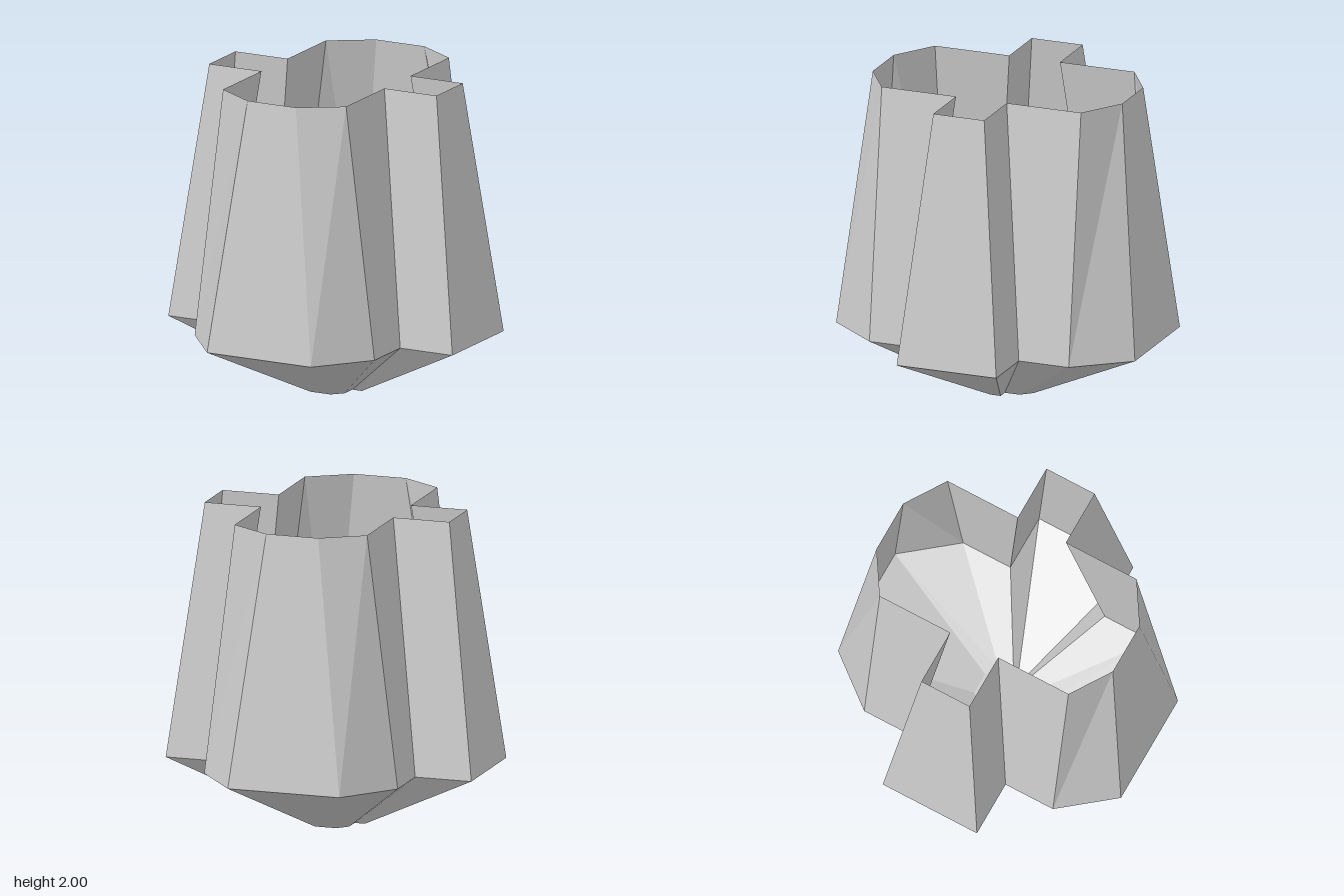
import * as THREE from 'three';

const material = new THREE.MeshStandardMaterial({
  color: 0xcccccc, flatShading: true, side: THREE.DoubleSide,
});

// Mirror one quarter of the cross outline (x, z) into a full 16-point loop
function outline(quarter) {
  const part = (sx, sz) => {
    const points = quarter.map(([x, z]) => [x * sx, z * sz]);
    return sx * sz > 0 ? points : points.reverse();
  };
  return [...part(1, 1), ...part(1, -1), ...part(-1, -1), ...part(-1, 1)];
}

// Band of flat faces between a lower and an upper loop
function band(name, lower, y0, upper, y1) {
  const positions = [];
  const n = lower.length;
  for (let i = 0; i < n; i++) {
    const j = (i + 1) % n;
    const at = ([x, z], y) => [x, y, z];
    const a = at(lower[i], y0), b = at(lower[j], y0);
    const c = at(upper[j], y1), d = at(upper[i], y1);
    positions.push(...a, ...b, ...c, ...a, ...c, ...d);
  }
  const geometry = new THREE.BufferGeometry();
  geometry.setAttribute('position', new THREE.Float32BufferAttribute(positions, 3));
  geometry.computeVertexNormals();
  const mesh = new THREE.Mesh(geometry, material);
  mesh.name = name;
  return mesh;
}

export function createModel() {
  const group = new THREE.Group();
  group.name = 'crossShapedVessel';

  const base = outline([[0.07, 0.2], [0.133, 0.133], [0.133, 0.033], [0.2, 0.033]]);
  const shoulder = outline([[0.365, 1], [0.633, 0.667], [0.633, 0.333], [1, 0.333]]);
  const rim = outline([[0.17, 0.835], [0.433, 0.667], [0.433, 0.17], [0.8, 0.17]]);

  // Flared underside and tapering open-topped walls
  group.add(band('flaredUnderside', base, 0, shoulder, 0.4));
  group.add(band('taperedWalls', shoulder, 0.4, rim, 2));

  // Small floor closing the bottom
  const shape = new THREE.Shape(base.map(([x, z]) => new THREE.Vector2(x, z)));
  const floor = new THREE.Mesh(new THREE.ShapeGeometry(shape).rotateX(Math.PI / 2), material);
  floor.name = 'floor';
  group.add(floor);

  return group;
}
